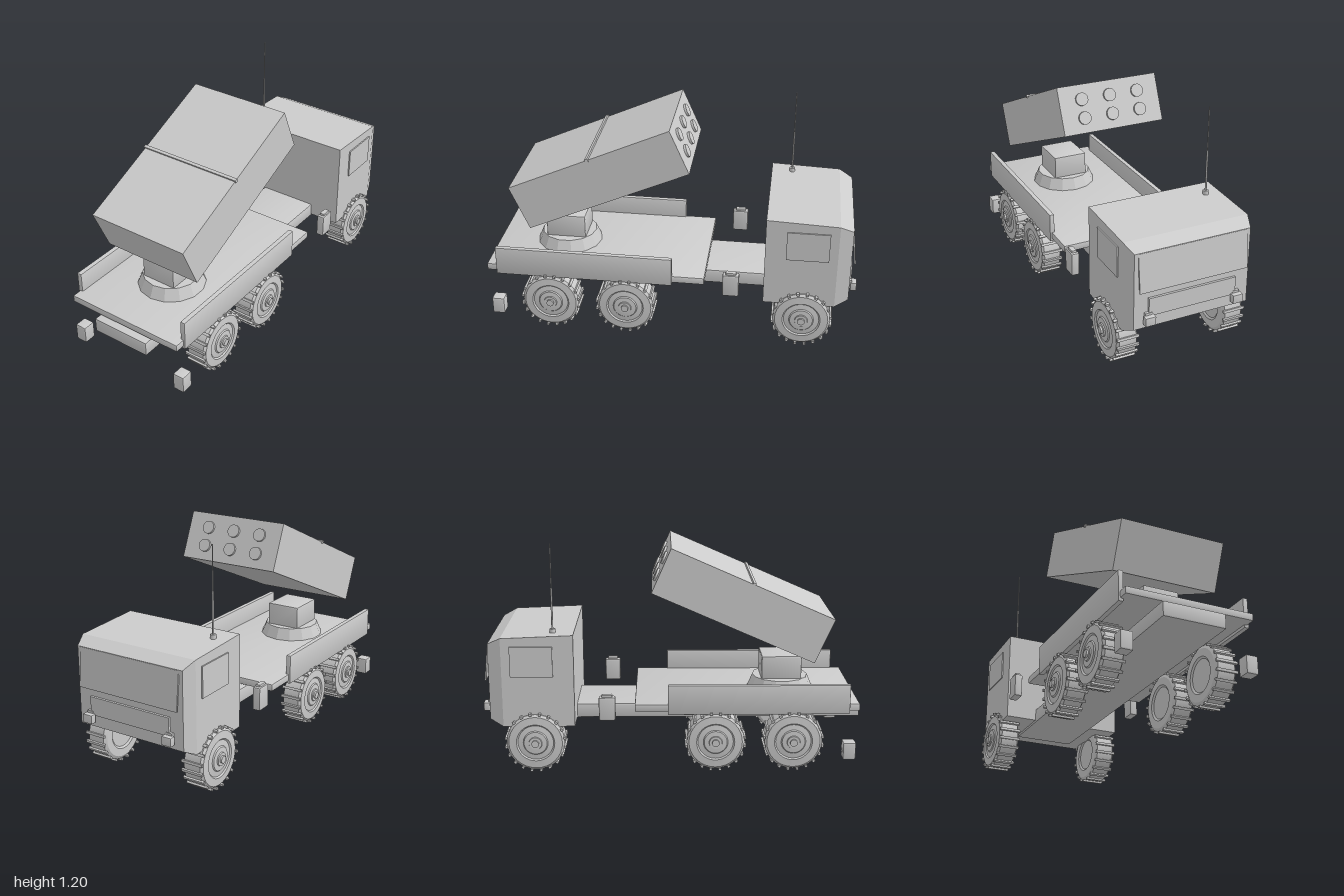
import * as THREE from 'three';
import { toCreasedNormals } from 'three/addons/utils/BufferGeometryUtils.js';
import { RoundedBoxGeometry } from 'three/addons/geometries/RoundedBoxGeometry.js';
import { ConvexGeometry } from 'three/addons/geometries/ConvexGeometry.js';

const material = new THREE.MeshStandardMaterial({ color: 0xcccccc });

function add(parent, name, geometry, x = 0, y = 0, z = 0) {
  const mesh = new THREE.Mesh(geometry, material);
  mesh.name = name;
  mesh.position.set(x, y, z);
  parent.add(mesh);
  return mesh;
}

// Box from its limits, with chamfered edges when bevel > 0
function block(parent, name, [x0, x1], [y0, y1], [z0, z1], bevel = 0) {
  const w = x1 - x0, h = y1 - y0, d = z1 - z0;
  const geometry = bevel
    ? toCreasedNormals(new RoundedBoxGeometry(w, h, d, 1, bevel), 0.4)
    : new THREE.BoxGeometry(w, h, d);
  return add(parent, name, geometry, (x0 + x1) / 2, (y0 + y1) / 2, (z0 + z1) / 2);
}

// Limits along x, mirrored for the right side
const span = (side, a, b) => (side > 0 ? [a, b] : [-b, -a]);

// Wheel turned about its axle; the local +y end faces outward
function createWheel() {
  const wheel = new THREE.Group();
  wheel.name = 'wheel';
  const profile = [
    [0, -0.05], [0.085, -0.05], [0.095, -0.058], [0.135, -0.058], [0.152, -0.047],
    [0.152, 0.045], [0.14, 0.056], [0.1, 0.059], [0.093, 0.052], [0.065, 0.056],
    [0.06, 0.062], [0.035, 0.064], [0.033, 0.07], [0.019, 0.07], [0.019, 0.08], [0, 0.08],
  ].map(([r, y]) => new THREE.Vector2(r, y));
  add(wheel, 'tyreAndHub', toCreasedNormals(new THREE.LatheGeometry(profile, 32), 0.4));
  const lug = new THREE.BoxGeometry(0.012, 0.118, 0.014);
  const count = 20;
  for (let i = 0; i < count; i++) {
    const a = (i + 0.5) / count * Math.PI * 2;
    const tread = add(wheel, 'treadLug', lug, Math.cos(a) * 0.155, 0, Math.sin(a) * 0.155);
    tread.rotation.y = -a;
  }
  return wheel;
}

function createCab() {
  const cab = new THREE.Group();
  cab.name = 'cab';
  // Shell spanned by three cross-sections: z, half width, bottom, top
  const corners = [];
  for (const [z, w, y0, y1] of [[-0.517, 0.335, 0.25, 0.74], [-0.89, 0.335, 0.25, 0.725], [-0.96, 0.31, 0.285, 0.69]]) {
    for (const x of [-w, w]) for (const y of [y0, y1]) corners.push(new THREE.Vector3(x, y, z));
  }
  add(cab, 'cabShell', new ConvexGeometry(corners));

  const windshield = add(cab, 'windshield', new THREE.BoxGeometry(0.58, 0.2, 0.008), 0, 0.588, -0.969);
  windshield.rotation.x = 0.11;
  block(cab, 'grille', [-0.235, 0.235], [0.35, 0.445], [-0.972, -0.955]);
  for (const side of [1, -1]) {
    block(cab, 'sideWindow', span(side, 0.33, 0.342), [0.52, 0.68], [-0.845, -0.625]);
    block(cab, 'headlight', span(side, 0.21, 0.265), [0.312, 0.358], [-1, -0.968], 0.004);
    block(cab, 'headlightMount', span(side, 0.22, 0.255), [0.32, 0.37], [-0.975, -0.955]);
  }

  // Whip antenna
  for (const [name, r, y0, y1] of [['antennaBase', 0.015, 0.73, 0.757], ['antennaLower', 0.005, 0.75, 0.97], ['antennaTip', 0.003, 0.97, 1.2]]) {
    add(cab, name, new THREE.CylinderGeometry(r, r, y1 - y0, 12), -0.255, (y0 + y1) / 2, -0.628);
  }
  return cab;
}

function createLauncher() {
  const launcher = new THREE.Group();
  launcher.name = 'launcher';
  const length = 0.926, height = 0.253;
  add(launcher, 'launcherBox', new THREE.BoxGeometry(0.563, height, length));
  block(launcher, 'topStrap', [-0.287, 0.287], [height / 2 - 0.008, height / 2 + 0.009], [-0.008, 0.008]);
  const cap = new THREE.CylinderGeometry(0.034, 0.034, 0.02, 20);
  for (const x of [-0.158, 0, 0.158]) {
    for (const y of [-0.049, 0.049]) {
      add(launcher, 'tubeCap', cap, x, y, -length / 2 - 0.002).rotation.x = Math.PI / 2;
    }
  }
  launcher.position.set(0, 0.875, 0.358);
  launcher.rotation.x = THREE.MathUtils.degToRad(23.8);
  return launcher;
}

export function createModel() {
  const model = new THREE.Group();
  model.name = 'launcherTruck';

  // Chassis and cargo bed
  block(model, 'chassis', [-0.165, 0.165], [0.238, 0.316], [-0.8, 1], 0.008);
  block(model, 'deck', [-0.335, 0.335], [0.327, 0.366], [-0.205, 0.97], 0.006);
  for (const side of [1, -1]) {
    block(model, 'sideBoard', span(side, 0.317, 0.345), [0.312, 0.472], [-0.033, 0.917], 0.006);
    block(model, 'sideTank', span(side, 0.33, 0.374), [0.293, 0.418], [-0.39, -0.304], 0.008);
    block(model, 'sideTankCap', span(side, 0.338, 0.366), [0.41, 0.43], [-0.375, -0.32], 0.004);
    block(model, 'rearLight', span(side, 0.29, 0.355), [0.062, 0.157], [0.887, 0.955], 0.008);
    for (const z of [0.625, 0.217, -0.724]) {
      const wheel = createWheel();
      wheel.position.set(side * 0.296, 0.165, z);
      wheel.rotation.z = -side * Math.PI / 2;
      model.add(wheel);
    }
  }

  // Turntable and pedestal under the launcher
  const turntable = toCreasedNormals(new THREE.CylinderGeometry(0.15, 0.178, 0.065, 14), 0.2);
  add(model, 'turntable', turntable, 0, 0.398, 0.583);
  block(model, 'pedestal', [-0.098, 0.098], [0.415, 0.556], [0.475, 0.691], 0.008);

  model.add(createCab(), createLauncher());
  return model;
}
